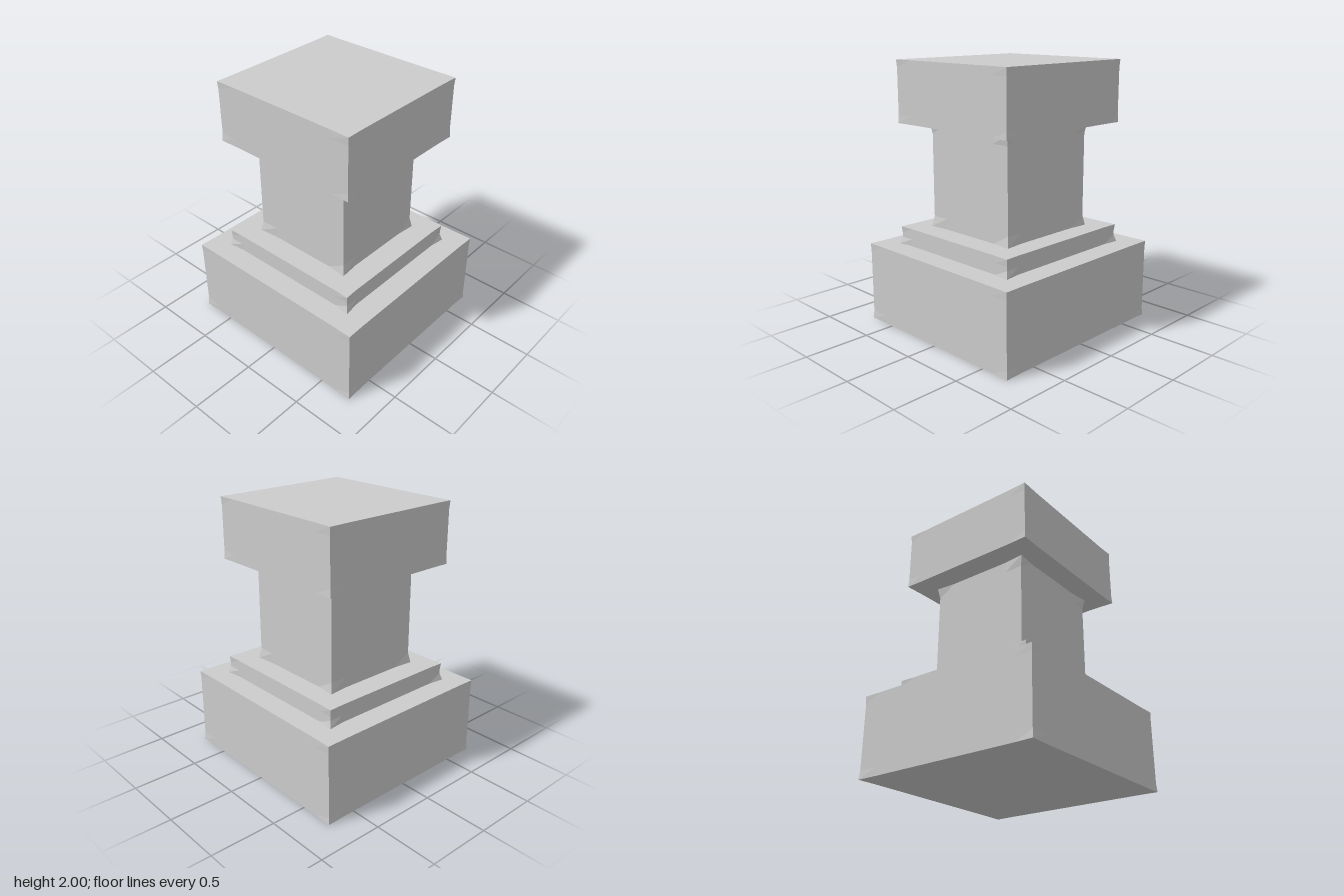
import * as THREE from 'three';

const stone = new THREE.MeshStandardMaterial({ color: 0xcccccc, flatShading: true });

// A hewn block: narrow strips along its edges, with the eight corners drawn slightly outwards.
function block(name, { x, z, bottom, top, strip, band, flareBottom, flareTop }) {
  const height = top - bottom;
  const geometry = new THREE.BoxGeometry(2, 2, 2, 3, 3, 3);
  const p = geometry.attributes.position;
  // Maps the even thirds of the box to an edge strip of the given width.
  const place = (t, half, width) => Math.sign(t) * (Math.abs(t) > 0.9 ? half : half - width);
  for (let i = 0; i < p.count; i++) {
    const u = p.getX(i), v = p.getY(i), w = p.getZ(i);
    const corner = Math.min(Math.abs(u), Math.abs(v), Math.abs(w)) > 0.9;
    const flare = corner ? (v < 0 ? flareBottom : flareTop) : 0;
    p.setXYZ(
      i,
      place(u, x + flare, strip),
      bottom + height / 2 + place(v, height / 2, band),
      place(w, z + flare, strip)
    );
  }
  geometry.computeVertexNormals();
  const mesh = new THREE.Mesh(geometry, stone);
  mesh.name = name;
  return mesh;
}

export function createModel() {
  const group = new THREE.Group();
  group.name = 'pedestal';
  group.add(
    block('base', { x: 0.729, z: 0.761, bottom: 0, top: 0.61, strip: 0.14, band: 0.06, flareBottom: 0.005, flareTop: 0.003 }),
    block('step', { x: 0.558, z: 0.587, bottom: 0.61, top: 0.745, strip: 0.11, band: 0.053, flareBottom: 0.016, flareTop: 0.005 }),
    block('shaft', { x: 0.39, z: 0.407, bottom: 0.745, top: 1.537, strip: 0.14, band: 0.08, flareBottom: 0.015, flareTop: 0.015 }),
    block('cap', { x: 0.558, z: 0.587, bottom: 1.537, top: 2, strip: 0.14, band: 0.06, flareBottom: 0.004, flareTop: 0.004 })
  );
  return group;
}
